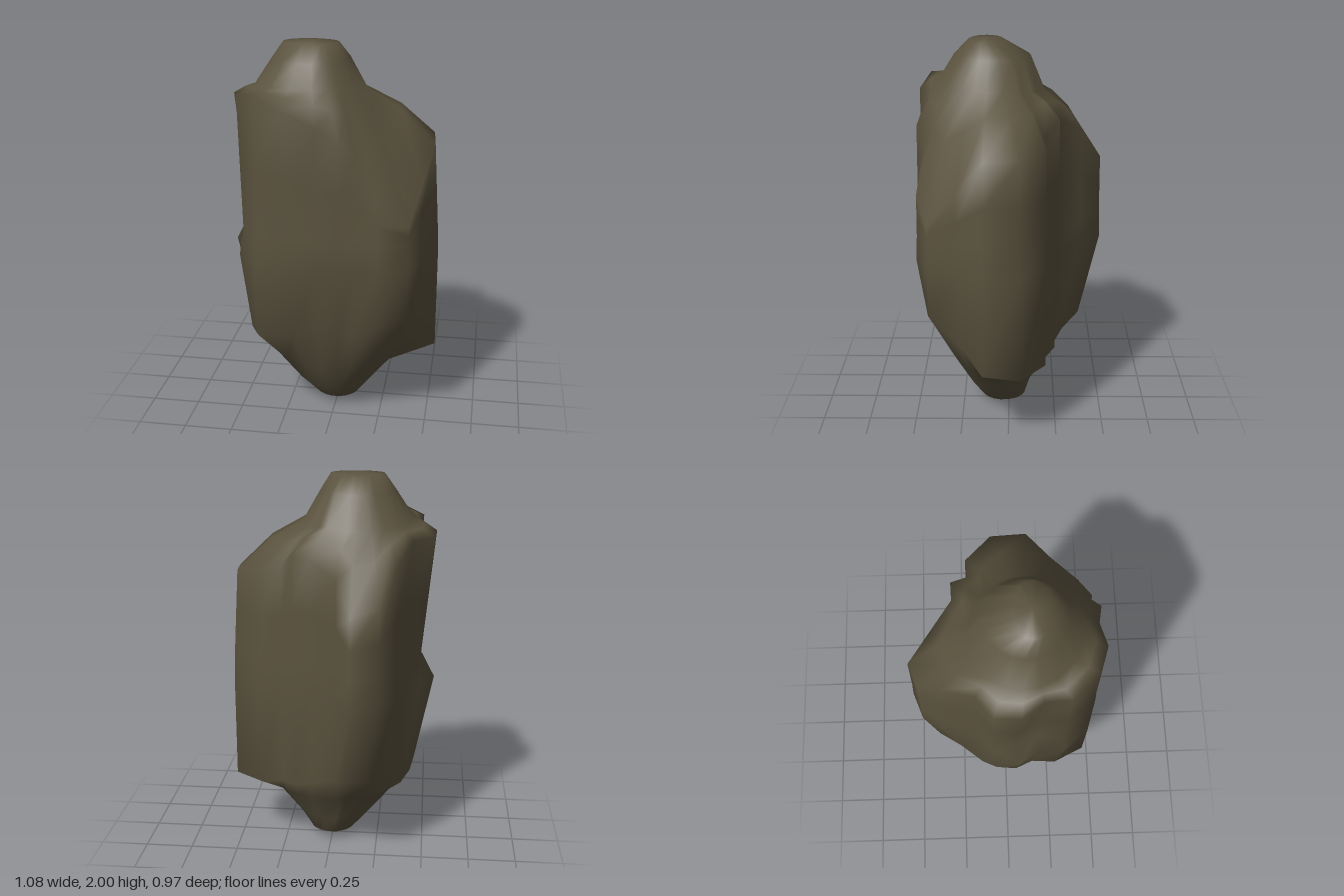
import * as THREE from 'three';

// Lobed outline, clockwise from the back: x, z, lower edge y, lower edge scale, upper edge y
const columns = [
  [-0.27, -0.44, 0.48, 0.85, 1.42],
  [-0.13, -0.49, 0.48, 0.78, 1.37],
  [-0.05, -0.38, 0.46, 0.85, 1.54],
  [0.10, -0.26, 0.40, 0.90, 1.62],
  [0.19, -0.265, 0.39, 0.92, 1.64],
  [0.26, -0.18, 0.38, 0.95, 1.56],
  [0.37, -0.195, 0.38, 0.98, 1.53],
  [0.52, -0.06, 0.37, 1.00, 1.51],
  [0.535, 0.13, 0.40, 1.00, 1.50],
  [0.46, 0.26, 0.52, 0.94, 1.32],
  [0.41, 0.41, 0.66, 0.97, 1.15],
  [0.26, 0.47, 0.60, 0.90, 1.27],
  [0.14, 0.44, 0.54, 0.87, 1.50],
  [0.065, 0.48, 0.56, 0.87, 1.58],
  [-0.05, 0.455, 0.56, 0.88, 1.64],
  [-0.20, 0.48, 0.54, 0.88, 1.72],
  [-0.36, 0.43, 0.53, 0.99, 1.78],
  [-0.47, 0.30, 0.50, 0.90, 1.75],
  [-0.47, 0.17, 0.46, 0.86, 1.73],
  [-0.54, 0.065, 0.45, 0.82, 1.71],
  [-0.53, -0.07, 0.42, 0.80, 1.70],
  [-0.42, -0.15, 0.38, 0.90, 1.69],
  [-0.35, -0.32, 0.38, 0.80, 1.60],
];

// Points of one column, from the pointed foot up to the crown
function columnPoints([x, z, low, lowScale, top]) {
  const at = (scale, y) => [x * scale, y, z * scale];
  const ring = (cx, cz, rx, rz, y, angle) => [cx + Math.cos(angle) * rx, y, cz + Math.sin(angle) * rz];
  const footAngle = Math.atan2(z - 0.05, x);
  const crownAngle = Math.atan2(z - 0.09, x + 0.12);
  // The +x side leans in towards its upper edge; the -x side has a notch at its waist
  const dx = x / Math.hypot(x, z);
  const notch = 0.13 * Math.max(0, -dx) ** 8;
  const topScale = 0.985 - 0.045 * Math.max(0, dx) * (top > 1.4);
  const waist = 0.99 - notch;
  const edge = at(topScale, top);
  const shoulder = ring(-0.13, 0.09, 0.28, 0.27, 1.77 + 0.03 * Math.sin(crownAngle), crownAngle);
  const ledge = edge.map((v, i) => v + (shoulder[i] - v) * (i === 1 ? 0.63 : 0.5));
  return [
    ring(0, 0.03, 0.12, 0.12, 0.045, footAngle),
    ring(-0.01, 0.05, 0.20, 0.17, 0.14, footAngle),
    ring(-0.01, 0.05, 0.33, 0.26, 0.30, footAngle),
    at(lowScale, low),
    at(z < 0 ? 1 - notch : 1, 0.92),
    at(waist, 1.06),
    at((waist + topScale) / 2, (1.06 + top) / 2),
    edge,
    ledge,
    shoulder,
    ring(-0.125, 0.09, 0.195, 0.20, 1.91, crownAngle),
    ring(-0.12, 0.12, 0.14, 0.09, 1.99, crownAngle),
  ];
}

// Skin the columns ring by ring and close both ends with a point
function stoneGeometry() {
  const grid = columns.map(columnPoints);
  const n = columns.length;
  const rings = grid[0].length;
  const positions = [];
  const index = [];
  for (let r = 0; r < rings; r++) {
    for (let c = 0; c < n; c++) positions.push(...grid[c][r]);
  }
  const foot = n * rings;
  const peak = foot + 1;
  positions.push(-0.01, 0, -0.01, -0.12, 2, 0.12);
  for (let c = 0; c < n; c++) {
    const next = (c + 1) % n;
    for (let r = 0; r < rings - 1; r++) {
      const a = r * n + c, b = r * n + next;
      index.push(a, a + n, b, b, a + n, b + n);
    }
    const last = (rings - 1) * n;
    index.push(foot, c, next, last + c, peak, last + next);
  }
  const geometry = new THREE.BufferGeometry();
  geometry.setAttribute('position', new THREE.Float32BufferAttribute(positions, 3));
  geometry.setIndex(index);
  geometry.computeVertexNormals();
  return geometry;
}

export function createModel() {
  const model = new THREE.Group();
  model.name = 'standingStone';
  const material = new THREE.MeshStandardMaterial({ color: 0x5a523e });
  material.name = 'mossy brown stone';
  const stone = new THREE.Mesh(stoneGeometry(), material);
  stone.name = 'stone';
  model.add(stone);
  return model;
}
